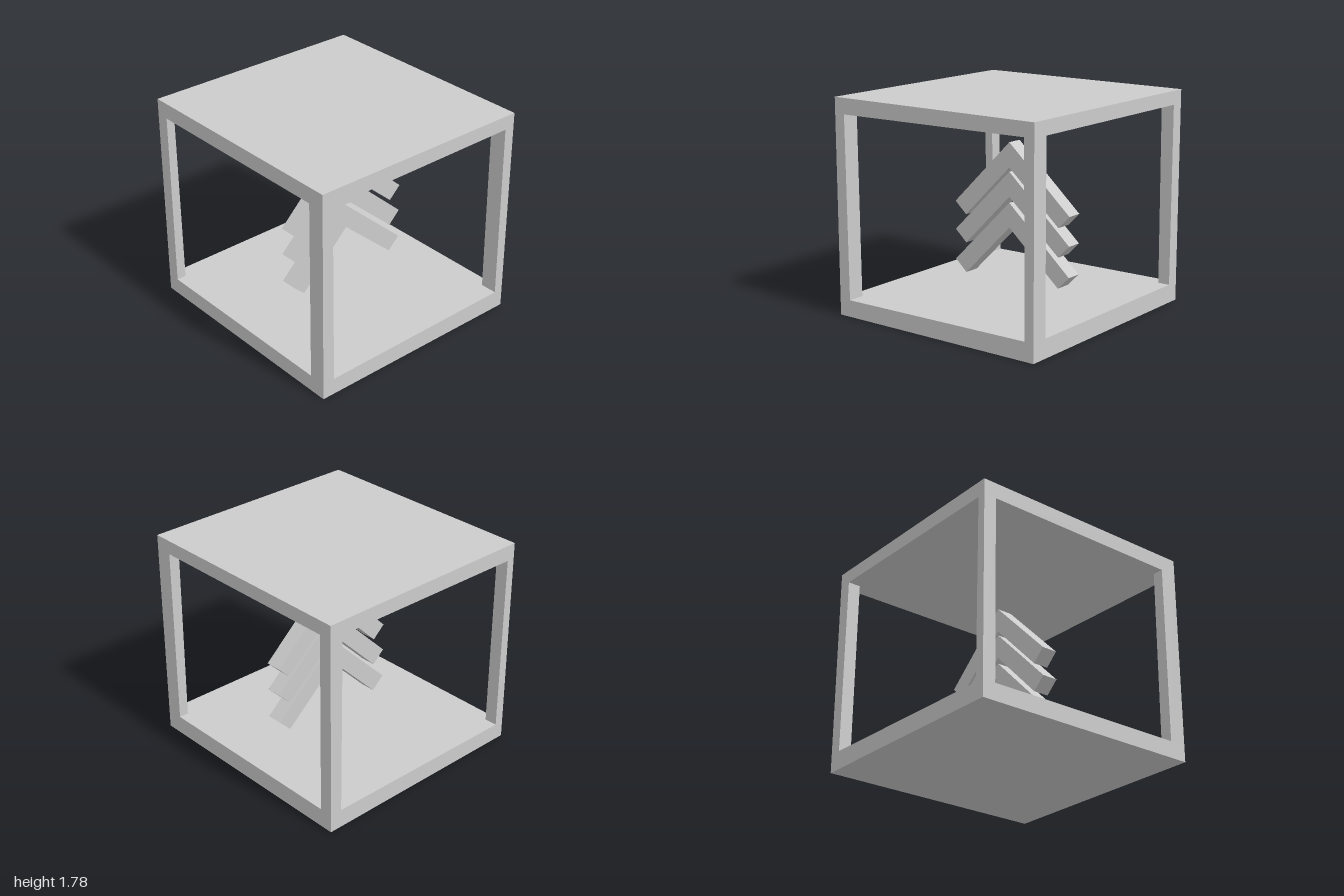
import * as THREE from 'three';

const material = new THREE.MeshStandardMaterial({ color: 0xcccccc, flatShading: true });

// Outer half sizes and height of the case
const HX = 1, HZ = 0.97, H = 1.78;

// The opening is slightly tilted, so its edges follow gentle slopes
const floorY = (z) => 0.147 - 0.0085 * z;
const ceilingY = (z) => 1.657 - 0.0085 * z;
const openingZ = (x, y, front) =>
  (front ? 0.864 : -0.891) + 0.0066 * y + 0.0125 * (1 - x);

// Six-sided block whose corners are placed by a rule on the corner signs
function block(name, corner) {
  const geometry = new THREE.BoxGeometry(2, 2, 2);
  const p = geometry.attributes.position;
  for (let i = 0; i < p.count; i++) {
    p.setXYZ(i, ...corner(p.getX(i), p.getY(i), p.getZ(i)));
  }
  geometry.computeVertexNormals();
  const mesh = new THREE.Mesh(geometry, material);
  mesh.name = name;
  return mesh;
}

export function createModel() {
  const model = new THREE.Group();
  model.name = 'framedChevrons';

  // Floor and roof slabs with sloping inner faces
  model.add(block('floorSlab', (x, y, z) => [x * HX, y < 0 ? 0 : floorY(z * HZ), z * HZ]));
  model.add(block('roofSlab', (x, y, z) => [x * HX, y > 0 ? H : ceilingY(z * HZ), z * HZ]));

  // Corner posts, a little wider on the +x side
  for (const sx of [-1, 1]) {
    for (const sz of [-1, 1]) {
      const name = (sz > 0 ? 'front' : 'back') + (sx > 0 ? 'Left' : 'Right') + 'Post';
      model.add(block(name, (x, y, z) => {
        const px = x === sx ? sx * HX : (sx > 0 ? 0.855 : -0.89);
        const pz = z === sz ? sz * HZ : openingZ(px, y > 0 ? 1.65 : 0.15, sz > 0);
        return [px, y > 0 ? ceilingY(pz) : floorY(pz), pz];
      }));
    }
  }

  // Three stacked chevrons, outlined in z and y and extruded along x
  const outline = [
    [-0.05, 1.4], [0.51, 0.845], [0.4, 0.745],
    [-0.05, 1.195], [-0.535, 0.77], [-0.64, 0.875],
  ];
  const shape = new THREE.Shape(outline.map(([z, y]) => new THREE.Vector2(z, y)));
  const geometry = new THREE.ExtrudeGeometry(shape, { depth: 0.135, bevelEnabled: false });
  geometry.rotateY(-Math.PI / 2);
  geometry.translate(0.09, 0, 0);
  ['topChevron', 'middleChevron', 'bottomChevron'].forEach((name, i) => {
    const chevron = new THREE.Mesh(geometry, material);
    chevron.name = name;
    chevron.position.y = [0, -0.24, -0.495][i];
    model.add(chevron);
  });

  return model;
}
